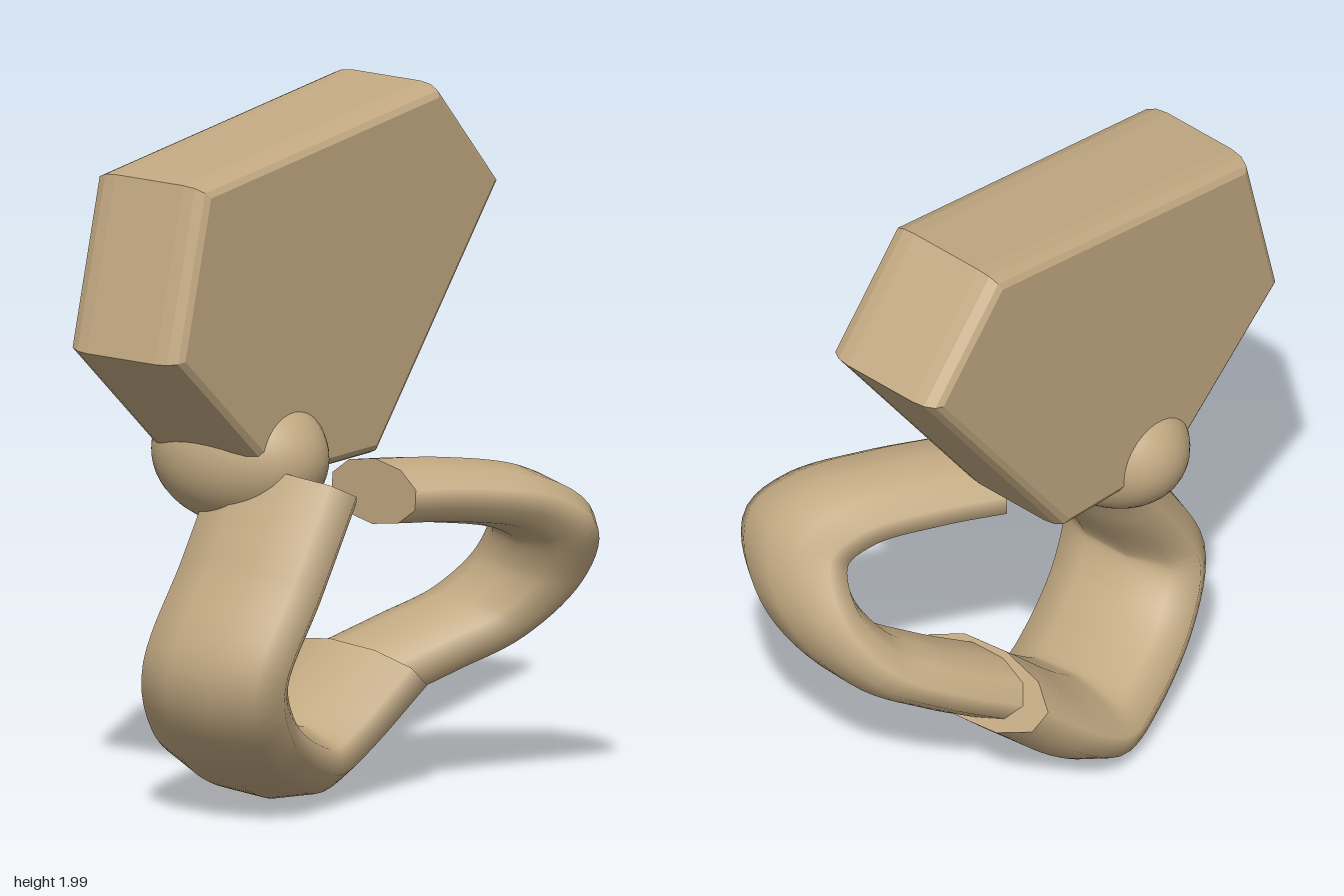
import * as THREE from 'three';

const material = new THREE.MeshStandardMaterial({ color: 0xc2a982 });
const flat = new THREE.MeshStandardMaterial({ color: 0xc2a982, flatShading: true });
const capMaterial = new THREE.MeshStandardMaterial({ color: 0xc2a982, side: THREE.DoubleSide });

// Bent tube with an elliptical section: a round ten-sided tube stretched in z, closed at both ends
function bentTube(name, points, radius, stretch) {
  const sides = 10, steps = 48;
  const path = new THREE.CatmullRomCurve3(
    points.map(([x, y, z]) => new THREE.Vector3(x, y, z / stretch)));
  const tube = new THREE.TubeGeometry(path, steps, radius, sides);
  const group = new THREE.Group();
  group.name = name;
  group.scale.z = stretch;
  group.add(new THREE.Mesh(tube, material));

  const position = tube.attributes.position;
  for (const ring of [0, steps]) {
    const corners = [], faces = [];
    for (let i = 0; i < sides; i++) {
      corners.push(new THREE.Vector3().fromBufferAttribute(position, ring * (sides + 1) + i));
      if (i > 1) faces.push(...(ring ? [0, i - 1, i] : [0, i, i - 1]));
    }
    const cap = new THREE.BufferGeometry().setFromPoints(corners);
    cap.setIndex(faces);
    cap.computeVertexNormals();
    const mesh = new THREE.Mesh(cap, capMaterial);
    mesh.name = name + 'End';
    group.add(mesh);
  }
  return group;
}

export function createModel() {
  const model = new THREE.Group();

  // Bevelled six-sided slab
  const outline = new THREE.Shape([
    [-0.725, 1.36], [-0.275, 0.955], [0.175, 0.97],
    [0.72, 1.685], [0.445, 2.0], [-0.6, 1.857],
  ].map(([x, y]) => new THREE.Vector2(x, y)));
  const slabGeometry = new THREE.ExtrudeGeometry(outline, {
    depth: 0.25, bevelThickness: 0.08, bevelSize: 0.035, bevelOffset: -0.035, bevelSegments: 3,
  });
  slabGeometry.translate(0, 0, -0.34);
  const slab = new THREE.Mesh(slabGeometry, flat);
  slab.name = 'slab';
  model.add(slab);

  // Ball joint, stretched front to back
  const ball = new THREE.Mesh(new THREE.SphereGeometry(0.205, 40, 28), material);
  ball.name = 'ballJoint';
  ball.scale.z = 1.37;
  ball.position.set(-0.205, 1.01, -0.21);
  model.add(ball);

  // Thick lower tube, from the ball round to the sleeve end
  model.add(bentTube('thickTube', [
    [-0.208, 0.94, -0.04], [-0.36, 0.69, -0.04], [-0.495, 0.43, -0.06], [-0.41, 0.27, -0.1],
    [-0.2, 0.15, -0.17], [-0.06, 0.12, -0.205], [0.06, 0.18, -0.2], [0.24, 0.335, -0.155],
  ], 0.115, 2.27));

  // Thinner hook tube, plugged into the sleeve
  model.add(bentTube('hookTube', [
    [0.09, 0.887, 0.035], [0.25, 0.88, 0.135], [0.43, 0.845, 0.25], [0.53, 0.77, 0.29],
    [0.573, 0.62, 0.2], [0.51, 0.48, 0.07], [0.38, 0.4, -0.04], [0.2, 0.315, -0.15],
  ], 0.094, 2.05));

  return model;
}
